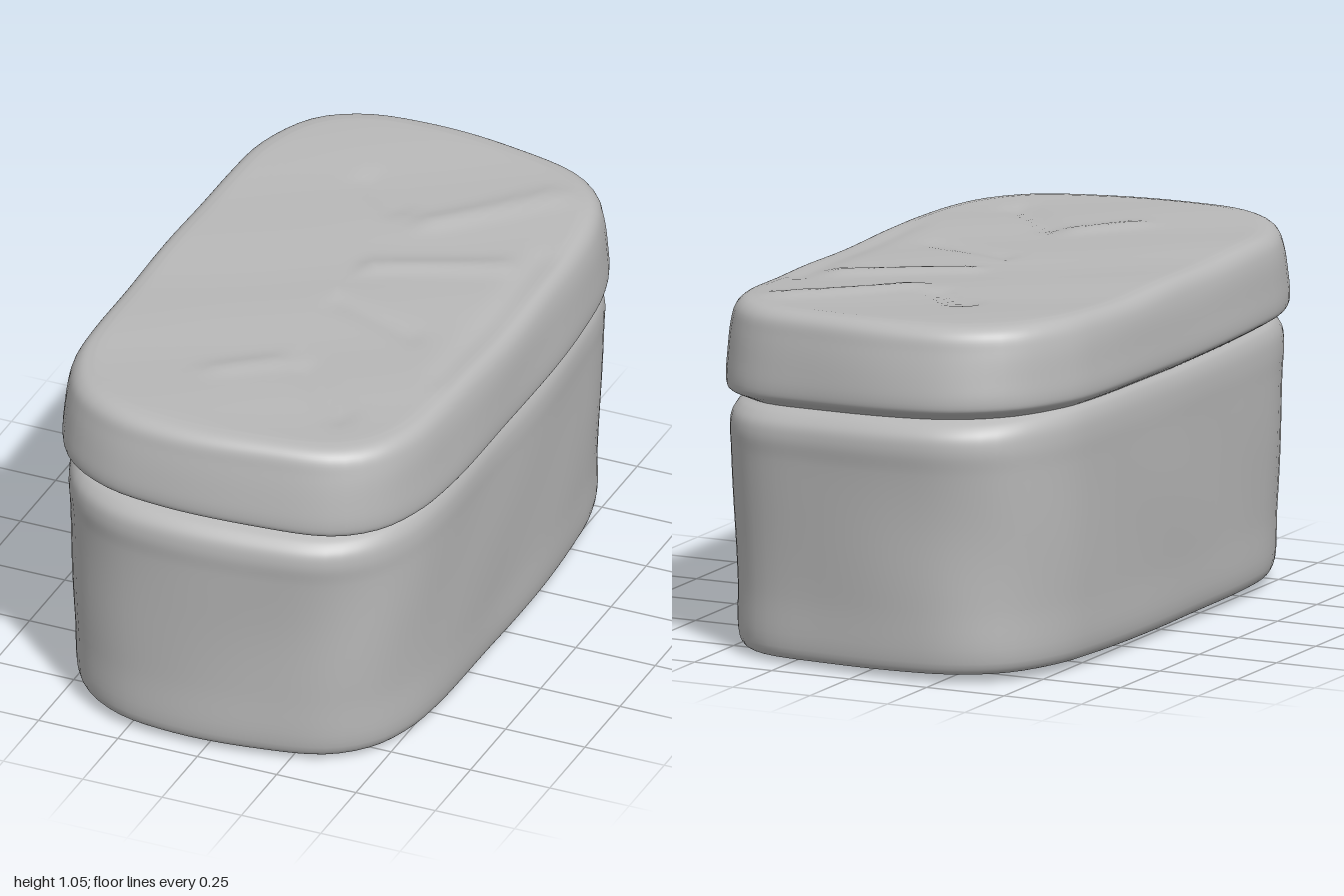
import * as THREE from 'three';

const SEGMENTS = 112;

// Rounded oblong plan, half given and mirrored front to back
const half = [
  [0.578, 0], [0.568, 0.5], [0.545, 0.68], [0.49, 0.82], [0.38, 0.92], [0.15, 0.975],
  [-0.12, 0.997], [-0.32, 0.97], [-0.46, 0.88], [-0.55, 0.7], [-0.577, 0.5], [-0.582, 0],
];
const mirrored = half.slice(1, -1).reverse().map(([x, z]) => [x, -z]);
const outline = new THREE.CatmullRomCurve3(
  [...half, ...mirrored].map(([x, z]) => new THREE.Vector3(x, 0, z)), true,
).getSpacedPoints(SEGMENTS).slice(0, SEGMENTS);

// Soft creases pressed into the lid: x1, z1, x2, z2, height
const creases = [
  [0.1, -0.42, 0.37, -0.7, 0.012], [0.05, -0.14, 0.38, -0.3, 0.012],
  [-0.12, 0.58, 0.06, 0.42, 0.01], [0.06, 0.42, 0.3, 0.66, -0.012],
  [-0.15, -0.57, -0.02, -0.46, -0.01], [0.05, 0.08, 0.3, 0.16, -0.008],
  [0.48, -0.4, 0.48, 0.35, -0.008],
];
function creaseHeight(x, z) {
  let h = 0;
  for (const [x1, z1, x2, z2, amount] of creases) {
    const dx = x2 - x1, dz = z2 - z1;
    const t = THREE.MathUtils.clamp(((x - x1) * dx + (z - z1) * dz) / (dx * dx + dz * dz), 0, 1);
    const d = Math.hypot(x - x1 - t * dx, z - z1 - t * dz);
    h += amount * Math.exp(-((d / 0.04) ** 2));
  }
  return h;
}

// Hand-shaped unevenness: tilt, sagging middle, gentle ripples
function warp(p) {
  const { x, y, z } = p;
  const top = THREE.MathUtils.smoothstep(y, 0.95, 1.02);
  const seam = Math.exp(-(((y - 0.77) / 0.1) ** 2));
  const ripple = 1 + 0.005 * Math.sin(9 * z + 5 * y) * Math.cos(7 * x - 6 * y);
  p.x *= ripple;
  p.z *= ripple;
  p.y += -0.016 * x + 0.01 * Math.abs(z) * (1 - top) - 0.022 * x * seam
    + top * (0.02 * z * z + creaseHeight(x, z) + 0.004 * Math.sin(8 * x + 3 * z) * Math.cos(9 * z));
  return p;
}

// Skin stacked rings [half width, half length, height] from bottom to top
function loft(rings) {
  const positions = [], indices = [];
  const v = new THREE.Vector3();
  for (const [hx, hz, y] of rings) {
    for (const o of outline) {
      warp(v.set(o.x * hx / 0.58, y, o.z * hz));
      positions.push(v.x, v.y, v.z);
    }
  }
  for (let i = 0; i < rings.length - 1; i++) {
    for (let j = 0; j < SEGMENTS; j++) {
      const k = (j + 1) % SEGMENTS;
      const a = i * SEGMENTS + j, b = i * SEGMENTS + k;
      const c = a + SEGMENTS, d = b + SEGMENTS;
      indices.push(a, c, b, b, c, d);
    }
  }
  const geometry = new THREE.BufferGeometry();
  geometry.setAttribute('position', new THREE.Float32BufferAttribute(positions, 3));
  geometry.setIndex(indices);
  geometry.computeVertexNormals();
  return geometry;
}

// Smooth a short profile into many rings
function smoothProfile(points, count) {
  return new THREE.CatmullRomCurve3(points.map((p) => new THREE.Vector3(...p)), false, 'centripetal')
    .getPoints(count).map((p) => [p.x, p.y, p.z]);
}

export function createModel() {
  const group = new THREE.Group();
  const clay = new THREE.MeshStandardMaterial({ color: 0xb8b8b8 });
  clay.name = 'grey clay';

  // Tub: flat base, walls flaring a little to a rounded rim
  const tub = new THREE.Mesh(loft([
    [0.001, 0.001, 0.008], [0.3, 0.6, 0.008],
    ...smoothProfile([
      [0.5, 0.92, 0.008], [0.53, 0.945, 0.015], [0.547, 0.957, 0.045], [0.553, 0.96, 0.2],
      [0.56, 0.968, 0.42], [0.563, 0.983, 0.6], [0.564, 0.992, 0.67], [0.56, 0.985, 0.71],
      [0.55, 0.96, 0.738], [0.535, 0.925, 0.755],
    ], 54),
  ]), clay);
  tub.name = 'tub';

  // Lid: overhanging lip, short wall, rounded shoulder and creased top
  const topRings = [];
  for (let i = 1; i <= 24; i++) {
    const s = Math.max(1 - i / 24, 0.001);
    topRings.push([0.505 * s, 0.89 * s, 1.032]);
  }
  const lid = new THREE.Mesh(loft([
    ...smoothProfile([
      [0.535, 0.925, 0.755], [0.56, 0.95, 0.768], [0.58, 0.98, 0.785], [0.584, 0.986, 0.81],
      [0.58, 0.98, 0.88], [0.572, 0.966, 0.96], [0.56, 0.955, 1.0], [0.54, 0.93, 1.023],
      [0.505, 0.89, 1.032],
    ], 40),
    ...topRings,
  ]), clay);
  lid.name = 'lid';

  group.add(tub, lid);
  return group;
}
